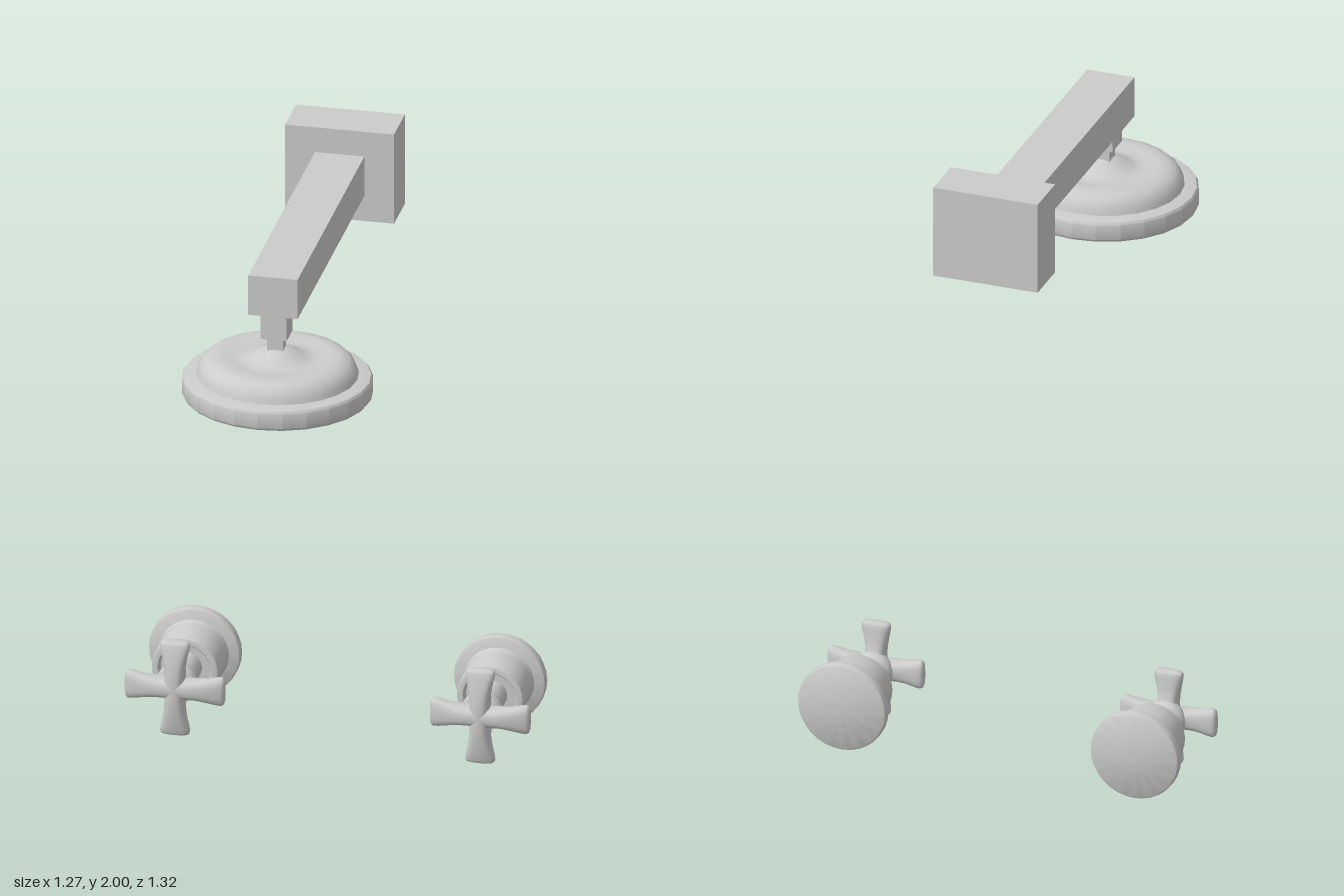
import * as THREE from 'three';
import { toCreasedNormals } from 'three/addons/utils/BufferGeometryUtils.js';

const material = new THREE.MeshStandardMaterial({ color: 0xcccccc });

function mesh(name, geometry) {
  const m = new THREE.Mesh(geometry, material);
  m.name = name;
  return m;
}

// Box given by its extents on each axis
function box(name, [x0, x1], [y0, y1], [z0, z1]) {
  const m = mesh(name, new THREE.BoxGeometry(x1 - x0, y1 - y0, z1 - z0));
  m.position.set((x0 + x1) / 2, (y0 + y1) / 2, (z0 + z1) / 2);
  return m;
}

// Turned part from [radius, height] pairs, bottom to top
function lathe(profile, sides) {
  const points = profile.map(([r, y]) => new THREE.Vector2(r, y));
  return toCreasedNormals(new THREE.LatheGeometry(points, sides), 0.65);
}

// Handle spoke along +x, lofted through [distance, half width, back z, front z]
function spokeGeometry() {
  const sections = [
    [0, 0.032, -0.375, -0.288], [0.03, 0.032, -0.375, -0.288], [0.05, 0.032, -0.367, -0.289],
    [0.07, 0.033, -0.358, -0.291], [0.1, 0.038, -0.352, -0.295], [0.13, 0.045, -0.35, -0.302],
    [0.146, 0.047, -0.348, -0.306], [0.153, 0.043, -0.345, -0.31], [0.156, 0.034, -0.34, -0.316],
  ];
  const n = 20, positions = [], index = [];
  const round = (v) => Math.sign(v) * Math.abs(v) ** 0.75;
  for (const [x, w, back, front] of sections) {
    for (let j = 0; j < n; j++) {
      const a = (j / n) * Math.PI * 2;
      positions.push(x, w * round(Math.cos(a)), (back + front) / 2 + ((front - back) / 2) * round(Math.sin(a)));
    }
  }
  for (let i = 0; i < sections.length - 1; i++) {
    for (let j = 0; j < n; j++) {
      const k = (j + 1) % n;
      const a = i * n + j, b = i * n + k, c = b + n, d = a + n;
      index.push(a, b, c, a, c, d);
    }
  }
  const last = (sections.length - 1) * n, tip = positions.length / 3;
  positions.push(0.157, 0, -0.328);
  for (let j = 0; j < n; j++) index.push(tip, last + j, last + ((j + 1) % n));
  const g = new THREE.BufferGeometry();
  g.setAttribute('position', new THREE.Float32BufferAttribute(positions, 3));
  g.setIndex(index);
  g.computeVertexNormals();
  return g;
}

// Valve: wall flange, cupped body, stem and cross handle, facing +z
function createValve(name) {
  const valve = new THREE.Group();
  valve.name = name;
  const turned = (part, profile) => {
    const m = mesh(part, lathe(profile, 32).rotateX(Math.PI / 2));
    valve.add(m);
  };
  turned('flange', [
    [0, -0.635], [0.135, -0.635], [0.142, -0.631], [0.144, -0.625],
    [0.144, -0.604], [0.142, -0.597], [0.135, -0.593], [0, -0.593],
  ]);
  turned('body', [
    [0.11, -0.594], [0.106, -0.585], [0.105, -0.57], [0.105, -0.467], [0.103, -0.461],
    [0.098, -0.459], [0.085, -0.459], [0.081, -0.464], [0.08, -0.485], [0, -0.485],
  ]);
  turned('stem', [
    [0.049, -0.486], [0.049, -0.41], [0.05, -0.395], [0.054, -0.383],
    [0.062, -0.372], [0.066, -0.36], [0.06, -0.34], [0, -0.32],
  ]);
  const spoke = spokeGeometry();
  const handle = new THREE.Group();
  handle.name = 'crossHandle';
  for (let i = 0; i < 4; i++) {
    const m = mesh('spoke', spoke);
    m.rotation.z = (i * Math.PI) / 2;
    handle.add(m);
  }
  valve.add(handle);
  return valve;
}

export function createModel() {
  const model = new THREE.Group();

  // Wall block, square arm and stepped connector
  model.add(
    box('wallMount', [-0.174, 0.168], [1.7, 2], [-0.66, -0.507]),
    box('arm', [-0.08, 0.075], [1.785, 1.917], [-0.52, 0.433]),
    box('connector', [-0.044, 0.037], [1.7, 1.79], [0.335, 0.418]),
    box('connectorNeck', [-0.028, 0.022], [1.64, 1.71], [0.355, 0.4]),
  );

  // Shower head with a rim, domed shoulder and small central cone
  const head = mesh('showerHead', lathe([
    [0, 1.495], [0.06, 1.497], [0.1, 1.5], [0.275, 1.5], [0.288, 1.503], [0.294, 1.511],
    [0.294, 1.56], [0.288, 1.568], [0.275, 1.571], [0.25, 1.573], [0.246, 1.588],
    [0.238, 1.606], [0.222, 1.621], [0.198, 1.63], [0.17, 1.631], [0.14, 1.626],
    [0.115, 1.624], [0.09, 1.63], [0.068, 1.642], [0.035, 1.656], [0.02, 1.66], [0, 1.661],
  ], 24));
  head.scale.z = 0.96;
  head.position.z = 0.378;
  model.add(head);

  // Pair of valves
  for (const side of [-1, 1]) {
    const valve = createValve(side > 0 ? 'leftValve' : 'rightValve');
    valve.position.set(side * 0.479, 0.157, 0);
    model.add(valve);
  }
  return model;
}
